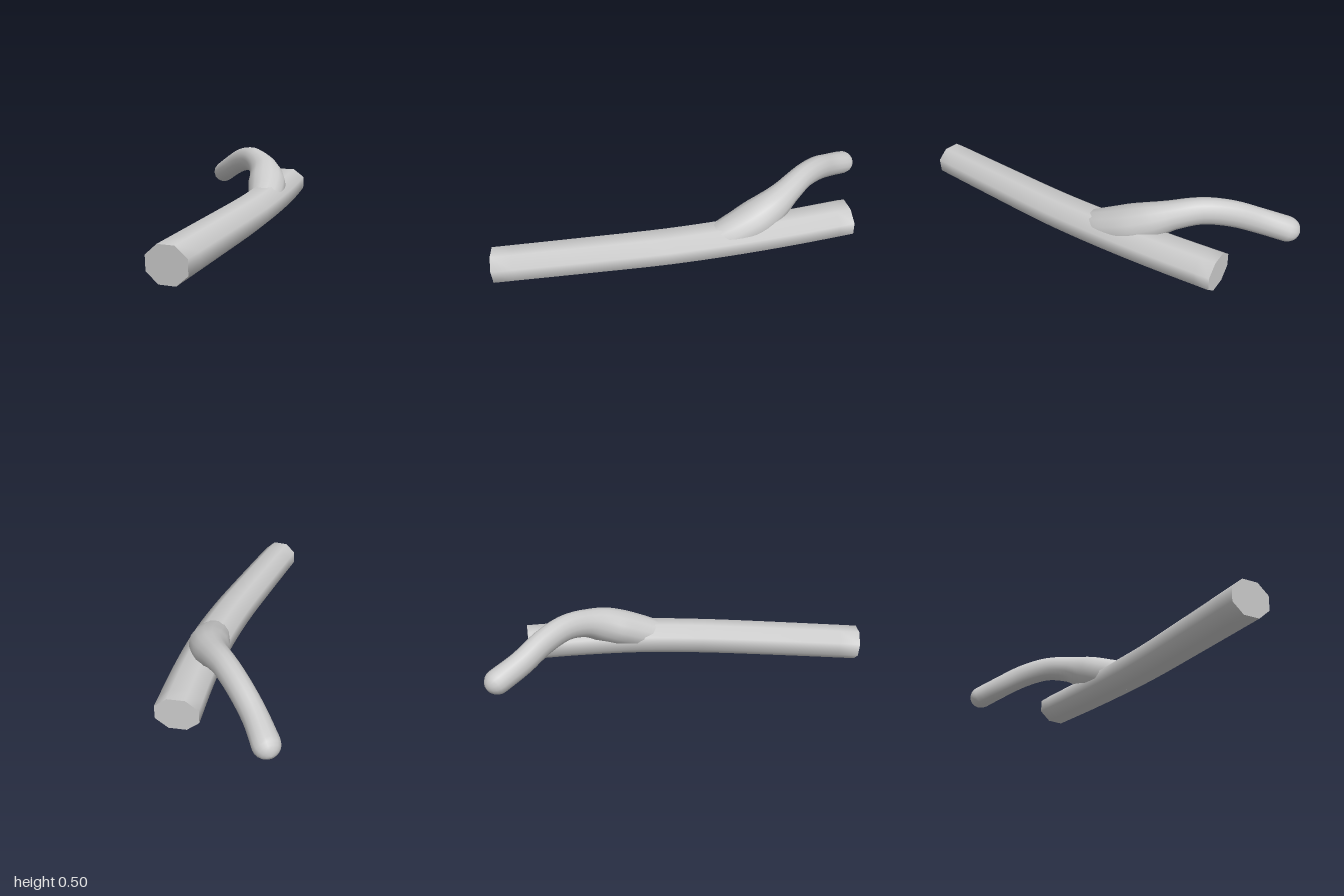
import * as THREE from 'three';

const material = new THREE.MeshStandardMaterial({ color: 0xcccccc });

// Sweeps an elliptical section along stations of [x, y, z, halfWidth, halfHeight].
function sweep(name, stations, sides, steps, phase, roundTip) {
  const path = new THREE.CatmullRomCurve3(stations.map(s => new THREE.Vector3(s[0], s[1], s[2])));
  const size = new THREE.CatmullRomCurve3(stations.map(s => new THREE.Vector3(s[3], s[4], 0)));
  const up = new THREE.Vector3(0, 1, 0);
  const rings = [];
  const addRing = (center, t, w, h) => {
    const side = new THREE.Vector3().crossVectors(up, t).normalize();
    const top = new THREE.Vector3().crossVectors(t, side);
    const ring = [];
    for (let j = 0; j < sides; j++) {
      const a = phase + (j / sides) * Math.PI * 2;
      ring.push(center.clone().addScaledVector(side, Math.cos(a) * w).addScaledVector(top, Math.sin(a) * h));
    }
    rings.push(ring);
  };
  for (let i = 0; i <= steps; i++) {
    const u = i / steps, r = size.getPoint(u);
    addRing(path.getPoint(u), path.getTangent(u), r.x, r.y);
  }
  if (roundTip) {
    const c = path.getPoint(1), t = path.getTangent(1), r = size.getPoint(1);
    for (let k = 1; k <= 5; k++) {
      const a = (k / 5) * Math.PI * 0.495;
      addRing(c.clone().addScaledVector(t, Math.sin(a) * r.x), t, Math.cos(a) * r.x, Math.cos(a) * r.y);
    }
  }

  // Smooth wall, closed around the section
  const pos = rings.flat().flatMap(p => [p.x, p.y, p.z]);
  const index = [];
  for (let i = 0; i < rings.length - 1; i++) {
    for (let j = 0; j < sides; j++) {
      const a = i * sides + j, b = i * sides + (j + 1) % sides;
      index.push(a, b, b + sides, a, b + sides, a + sides);
    }
  }
  // Flat end cuts with their own vertices
  [rings[0].slice().reverse(), rings[rings.length - 1]].forEach(ring => {
    const start = pos.length / 3;
    ring.forEach(p => pos.push(p.x, p.y, p.z));
    for (let j = 1; j < sides - 1; j++) index.push(start, start + j, start + j + 1);
  });
  const geometry = new THREE.BufferGeometry();
  geometry.setAttribute('position', new THREE.Float32BufferAttribute(pos, 3));
  geometry.setIndex(index);
  geometry.computeVertexNormals();
  const mesh = new THREE.Mesh(geometry, material);
  mesh.name = name;
  return mesh;
}

export function createModel() {
  const group = new THREE.Group();
  group.name = 'forkedLog';

  // Main log, gently bent and sawn flat at both ends
  group.add(sweep('trunk', [
    [-0.91, 0.104, 0.895, 0.126, 0.111],
    [-0.45, 0.142, 0.612, 0.129, 0.111],
    [0.0, 0.178, 0.328, 0.132, 0.111],
    [0.33, 0.204, 0.092, 0.134, 0.111],
    [0.62, 0.218, -0.145, 0.135, 0.109],
    [0.90, 0.228, -0.395, 0.137, 0.107],
  ], 8, 20, Math.PI / 8, false));

  // Side branch, flared where it grows out of the log and rounded at the tip
  group.add(sweep('branch', [
    [0.20, 0.175, 0.20, 0.09, 0.09],
    [0.32, 0.235, 0.09, 0.115, 0.11],
    [0.415, 0.295, -0.02, 0.125, 0.115],
    [0.485, 0.345, -0.125, 0.108, 0.112],
    [0.535, 0.395, -0.25, 0.085, 0.09],
    [0.575, 0.421, -0.41, 0.073, 0.084],
    [0.61, 0.39, -0.59, 0.071, 0.083],
    [0.642, 0.325, -0.76, 0.072, 0.08],
    [0.693, 0.268, -0.92, 0.08, 0.077],
  ], 14, 32, 0, true));

  return group;
}
